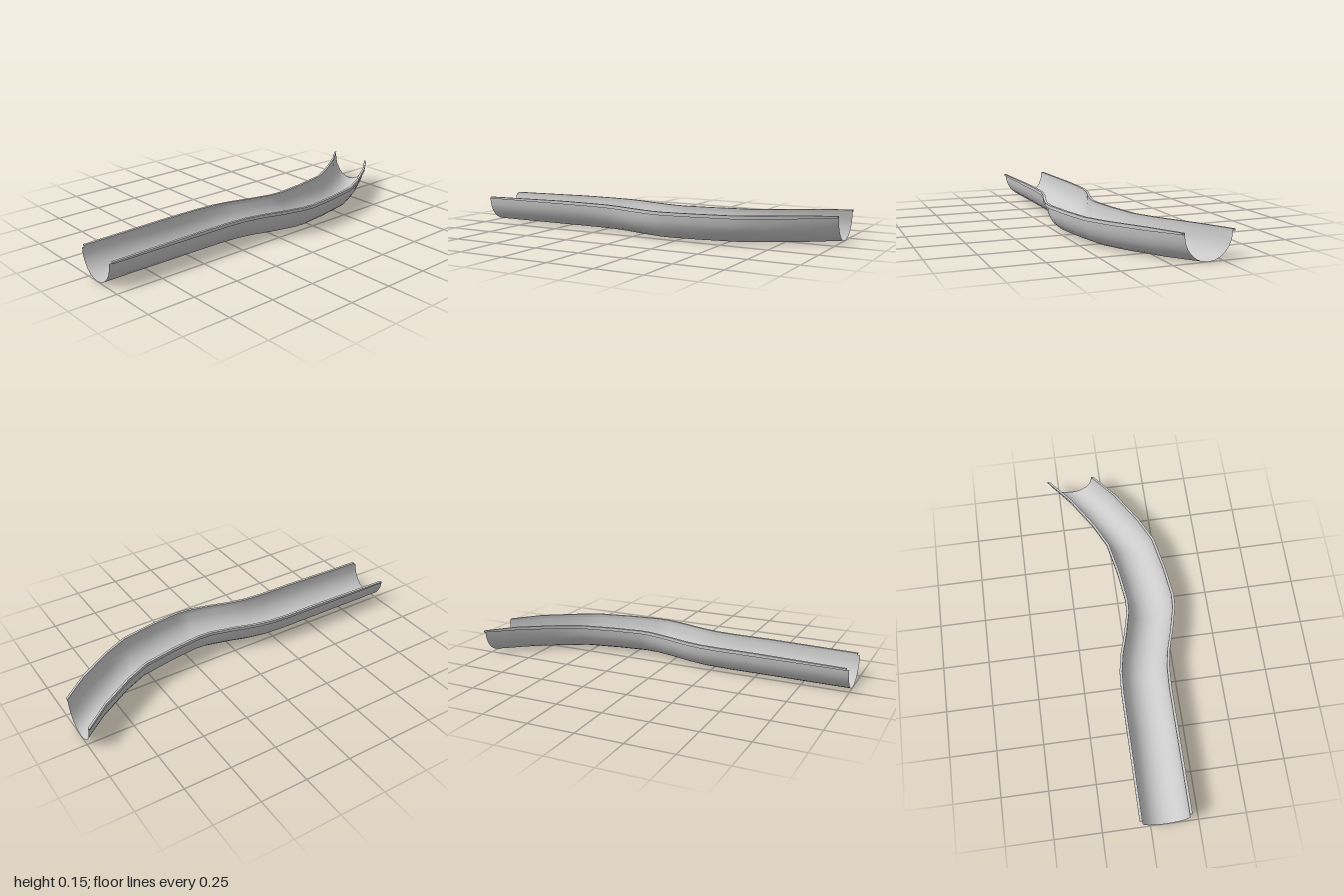
import * as THREE from 'three';
import { toCreasedNormals } from 'three/addons/utils/BufferGeometryUtils.js';

// Centre line stations from back to front: [z, x, rim top height]
const STATIONS = [
  [-1, -0.175, 0.142], [-0.86, -0.063, 0.15], [-0.68, 0.05, 0.15], [-0.55, 0.113, 0.15],
  [-0.36, 0.15, 0.15], [-0.2, 0.17, 0.15], [-0.13, 0.166, 0.15], [0, 0.134, 0.15],
  [0.1, 0.103, 0.15], [0.2, 0.083, 0.15], [0.32, 0.076, 0.15], [0.5, 0.076, 0.15], [1, 0.076, 0.142],
];
const HALF_WIDTH = 0.121;
const RIM_BASE = 0.133;
const RIM_WIDTH = 0.014;

// Skin a list of equal-length cross-sections, optionally closed and capped
function loft(rings, closed) {
  const n = rings[0].length;
  const index = [];
  const spans = closed ? n : n - 1;
  for (let i = 0; i < rings.length - 1; i++) {
    for (let j = 0; j < spans; j++) {
      const a = i * n + j, b = i * n + (j + 1) % n;
      index.push(a, a + n, b, b, a + n, b + n);
    }
  }
  if (closed) {
    const e = (rings.length - 1) * n;
    for (let j = 1; j < n - 1; j++) index.push(0, j, j + 1, e, e + j + 1, e + j);
  }
  const geometry = new THREE.BufferGeometry();
  geometry.setAttribute('position', new THREE.Float32BufferAttribute(rings.flat(2), 3));
  geometry.setIndex(index);
  geometry.computeVertexNormals();
  return geometry;
}

export function createModel() {
  const group = new THREE.Group();
  group.name = 'curvedTrough';
  const material = new THREE.MeshStandardMaterial({ color: 0xcccccc, side: THREE.DoubleSide });

  // Thin half-round channel, ordered so its normals point up
  const SEGMENTS = 12;
  const channelRings = STATIONS.map(([z, x]) =>
    Array.from({ length: SEGMENTS + 1 }, (_, j) => {
      const t = Math.PI * j / SEGMENTS;
      return [x - HALF_WIDTH * Math.cos(t), RIM_BASE * (1 - Math.sin(t)), z];
    }));
  const channel = new THREE.Mesh(loft(channelRings, false), material);
  channel.name = 'channel';
  group.add(channel);

  // Square lips along both top edges, stopping just short of the front end
  for (const [side, name] of [[1, 'leftRim'], [-1, 'rightRim']]) {
    const rings = STATIONS.map(([z, x, top]) => {
      const inner = x + side * (HALF_WIDTH - 0.001);
      const outer = inner + side * RIM_WIDTH;
      const rz = Math.min(z, 0.987);
      const ring = [[inner, RIM_BASE, rz], [inner, top, rz], [outer, top, rz], [outer, RIM_BASE, rz]];
      return side > 0 ? ring : ring.reverse();
    });
    const rim = new THREE.Mesh(toCreasedNormals(loft(rings, true), 0.7), material);
    rim.name = name;
    group.add(rim);
  }
  return group;
}
